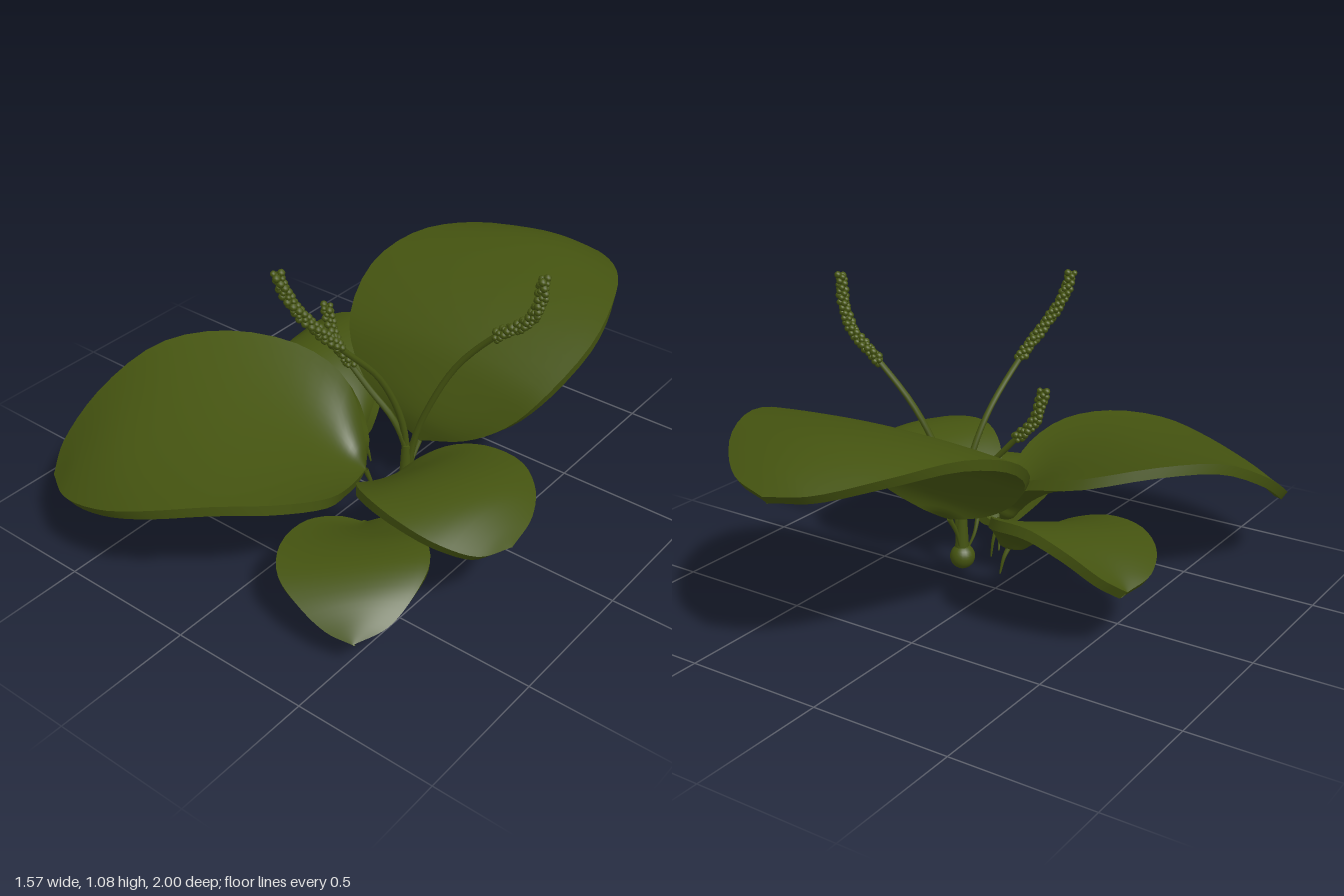
import * as THREE from 'three';
import { mergeGeometries } from 'three/addons/utils/BufferGeometryUtils.js';

const leafGreen = new THREE.MeshStandardMaterial({ color: 0x445310, side: THREE.DoubleSide });
leafGreen.name = 'olive green';

const THICKNESS = 0.036;
const curve = pts => new THREE.CatmullRomCurve3(pts.map(p => new THREE.Vector3(...p)));

function add(parent, geometry, name) {
  const mesh = new THREE.Mesh(geometry, leafGreen);
  mesh.name = name;
  parent.add(mesh);
  return mesh;
}

// Surface through rows of points that all have the same length.
function gridGeometry(grid) {
  const idx = [], n = grid[0].length;
  for (let i = 0; i < grid.length - 1; i++) {
    for (let j = 0; j < n - 1; j++) {
      const p = i * n + j, q = p + n;
      idx.push(p, p + 1, q, p + 1, q + 1, q);
    }
  }
  const g = new THREE.BufferGeometry().setFromPoints(grid.flat());
  g.setIndex(idx);
  g.computeVertexNormals();
  return g;
}

// Leaf blade: parabolic cross-sections through two edge curves and a midrib,
// with an underside set below the top and a rim joining the two.
function bladeGeometry(edgeA, midrib, edgeB, rows = 40, cols = 20) {
  const [a, m, b] = [edgeA, midrib, edgeB].map(curve);
  const top = [];
  for (let i = 0; i <= rows; i++) {
    const t = (1 - Math.cos(Math.PI * i / rows)) / 2;
    const A = a.getPoint(t), M = m.getPoint(t), B = b.getPoint(t);
    top.push(Array.from({ length: cols + 1 }, (_, j) => {
      const s = j / cols * 2 - 1;
      return new THREE.Vector3(...['x', 'y', 'z'].map(k =>
        M[k] + s * (B[k] - A[k]) / 2 + s * s * ((A[k] + B[k]) / 2 - M[k])));
    }));
  }
  const topGeo = gridGeometry(top), n = topGeo.attributes.normal;
  const sign = Math.sign(n.getY((rows / 2) * (cols + 1) + cols / 2));
  const under = top.map((row, i) => row.map((p, j) => {
    const depth = sign * THICKNESS * Math.min(1, i / 6);
    return new THREE.Vector3().fromBufferAttribute(n, i * (cols + 1) + j).multiplyScalar(-depth).add(p);
  }));
  const rim = j => gridGeometry(top.map((row, i) => [row[j], under[i][j]]));
  return mergeGeometries([topGeo, gridGeometry(under), rim(0), rim(cols)]);
}

// Tube narrowing from r0 to r1 along its path.
function taperedTube(pts, r0, r1) {
  const path = curve(pts), seg = 24, sides = 8;
  const g = new THREE.TubeGeometry(path, seg, 1, sides);
  const p = g.attributes.position, v = new THREE.Vector3();
  for (let i = 0; i < p.count; i++) {
    const t = Math.floor(i / (sides + 1)) / seg, c = path.getPointAt(t);
    v.fromBufferAttribute(p, i).sub(c).multiplyScalar(r0 + (r1 - r0) * t).add(c);
    p.setXYZ(i, v.x, v.y, v.z);
  }
  return g;
}

function makeLeaf(name, edgeA, midrib, edgeB, tail) {
  const leaf = new THREE.Group();
  leaf.name = name;
  add(leaf, bladeGeometry(edgeA, midrib, edgeB), 'blade');
  add(leaf, taperedTube([midrib[0], ...tail], 0.01, 0.003), 'leafStalk');
  return leaf;
}

// Flower stalk with a spike of small seeds wound round its upper end.
function makeSpike(name, pts, spikeStart) {
  const group = new THREE.Group(), path = curve(pts);
  group.name = name;
  add(group, taperedTube(pts, 0.013, 0.009), 'stalk');
  let t0 = 0;
  while (path.getPointAt(t0).y < spikeStart) t0 += 0.005;
  const count = Math.round((1 - t0) * path.getLength() / 0.0045);
  const seed = new THREE.SphereGeometry(1, 8, 6);
  const up = new THREE.Vector3(0, 0, 1);
  for (let i = 0; i < count; i++) {
    const t = t0 + (1 - t0) * i / (count - 1);
    const dir = path.getTangentAt(t);
    const side = new THREE.Vector3().crossVectors(dir, up).normalize();
    side.applyAxisAngle(dir, i * 2.4);
    const mesh = add(group, seed, 'seed');
    mesh.position.copy(path.getPointAt(t)).addScaledVector(side, 0.013);
    mesh.scale.setScalar(0.0115 + 0.002 * Math.sin(i * 5.1));
  }
  return group;
}

export function createModel() {
  const plant = new THREE.Group();
  plant.name = 'broadLeafPlant';

  // Tall arching leaf at the back, symmetric about its midrib
  const cx = 0.163;
  const backEdge = [[0, .25, -.05], [.19, .32, -.07], [.33, .42, -.11], [.42, .54, -.18], [.468, .665, -.37],
    [.425, .725, -.58], [.32, .715, -.79], [.15, .675, -.955], [0, .655, -1]];
  const side = s => backEdge.map(([x, y, z]) => [cx + s * x, y, z]);
  const backRib = [[cx, .25, -.05], [cx, .35, -.06], [cx, .47, -.12], [cx, .58, -.2], [cx, .69, -.37],
    [cx, .75, -.57], [cx, .762, -.75], [cx, .715, -.91], [cx, .655, -1]];
  plant.add(makeLeaf('backLeaf', side(-1), backRib, side(1), [[.16, .18, -.01], [.165, .1, .02]]));

  // Largest leaf, front right
  plant.add(makeLeaf('largeLeaf',
    [[.08, .2, .15], [.06, .31, .13], [-.11, .43, .02], [-.33, .485, .01], [-.55, .53, .15],
      [-.7, .515, .34], [-.778, .41, .56], [-.775, .29, .76], [-.7, .245, .88]],
    [[.08, .2, .15], [.05, .25, .2], [0, .31, .27], [-.1, .39, .37], [-.25, .45, .5],
      [-.4, .45, .62], [-.53, .41, .73], [-.63, .33, .82], [-.7, .245, .88]],
    [[.08, .2, .15], [.14, .25, .3], [.2, .34, .5], [.15, .41, .7], [.02, .43, .845],
      [-.16, .4, .965], [-.33, .345, 1], [-.54, .28, .97], [-.7, .245, .88]],
    [[.095, .12, .13], [.105, .05, .13]]));

  // Leaf on the left
  plant.add(makeLeaf('leftLeaf',
    [[.18, .2, .16], [.23, .26, .06], [.32, .32, -.01], [.45, .36, -.04], [.6, .365, -.03],
      [.7, .345, .04], [.76, .32, .15], [.78, .3, .29]],
    [[.18, .2, .16], [.21, .25, .18], [.28, .31, .2], [.4, .385, .22], [.53, .415, .24],
      [.65, .4, .26], [.73, .35, .28], [.78, .3, .29]],
    [[.18, .2, .16], [.18, .27, .28], [.24, .36, .4], [.36, .415, .49], [.5, .41, .52],
      [.64, .375, .5], [.74, .325, .42], [.78, .3, .29]],
    [[.18, .12, .13], [.2, .05, .1]]));

  // Low leaf, front left
  plant.add(makeLeaf('lowLeaf',
    [[.18, .1, .28], [.28, .165, .27], [.4, .215, .31], [.5, .25, .37], [.58, .245, .45],
      [.61, .21, .56], [.6, .15, .69], [.54, .115, .79]],
    [[.18, .1, .28], [.22, .145, .35], [.27, .195, .43], [.34, .235, .51], [.41, .245, .6],
      [.48, .215, .68], [.52, .165, .74], [.54, .115, .79]],
    [[.18, .1, .28], [.13, .15, .36], [.1, .2, .5], [.14, .225, .67], [.22, .21, .77],
      [.34, .175, .81], [.45, .13, .81], [.54, .115, .79]],
    [[.175, .05, .29], [.17, 0, .28]]));

  // Leaf at the back right
  plant.add(makeLeaf('rearRightLeaf',
    [[-.06, .18, 0], [-.06, .28, -.06], [-.1, .36, -.17], [-.2, .42, -.3], [-.36, .44, -.35],
      [-.49, .39, -.34], [-.59, .3, -.28], [-.64, .235, -.2]],
    [[-.06, .18, 0], [-.11, .24, -.01], [-.19, .3, -.03], [-.3, .355, -.07], [-.42, .375, -.11],
      [-.52, .35, -.15], [-.59, .29, -.18], [-.64, .235, -.2]],
    [[-.06, .18, 0], [-.12, .22, .1], [-.22, .27, .16], [-.36, .305, .18], [-.5, .305, .15],
      [-.6, .28, .07], [-.655, .25, -.07], [-.64, .235, -.2]],
    [[-.05, .14, -.02], [-.04, .08, -.03]]));

  // Seed spikes
  plant.add(makeSpike('frontSpike', [[.17, .1, .03], [.16, .35, .04], [.13, .58, .13], [.085, .78, .3],
    [.02, .92, .4], [-.015, 1, .43], [-.025, 1.07, .45]], .77));
  plant.add(makeSpike('leftSpike', [[.17, .1, .03], [.19, .3, .02], [.25, .48, 0], [.33, .64, -.03],
    [.46, .79, -.055], [.57, .88, -.055], [.62, .97, -.04], [.635, 1.07, -.03]], .78));
  plant.add(makeSpike('shortSpike', [[.17, .1, .03], [.165, .27, .035], [.12, .38, .05], [.04, .47, .07],
    [-.04, .56, .085], [-.1, .62, .085], [-.13, .69, .08], [-.145, .75, .08]], .55));

  // Root bulb with its neck
  add(plant, new THREE.SphereGeometry(0.046, 20, 14), 'rootBulb').position.set(.165, .073, .033);
  add(plant, new THREE.CylinderGeometry(0.016, 0.026, 0.18, 12), 'neck').position.set(.167, .19, .033);
  return plant;
}
